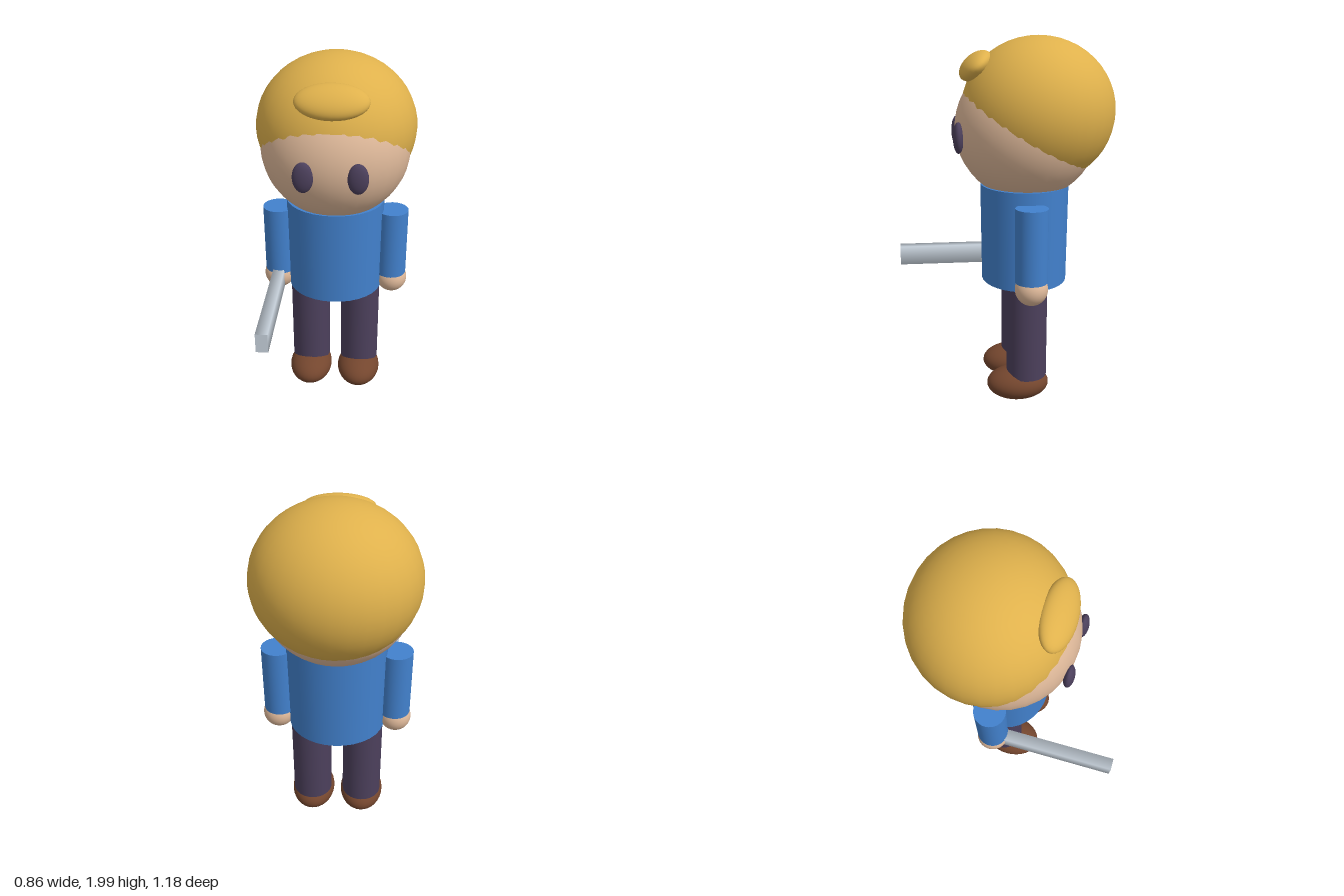
import * as THREE from 'three';

const material = (name, color) => {
  const m = new THREE.MeshStandardMaterial({ color });
  m.name = name;
  return m;
};

export function createModel() {
  const hairGold = material('hair gold', 0xdfb14c);
  const skin = material('skin', 0xdfb99a);
  const shirtBlue = material('shirt blue', 0x4281cd);
  const darkPurple = material('dark purple', 0x4c405c);
  const shoeBrown = material('shoe brown', 0x74462e);
  const steel = material('steel', 0xc8d2dc);

  const model = new THREE.Group();
  model.name = 'figure';

  const add = (name, geometry, mat, position) => {
    const mesh = new THREE.Mesh(geometry, mat);
    mesh.name = name;
    mesh.position.set(...position);
    model.add(mesh);
    return mesh;
  };
  const ellipsoid = (name, mat, position, radii) =>
    add(name, new THREE.SphereGeometry(1, 32, 24).scale(...radii), mat, position);
  const column = (name, mat, x, bottom, top, rTop, rBottom, depth = 1) =>
    add(name, new THREE.CylinderGeometry(rTop, rBottom, top - bottom, 32).scale(1, 1, depth),
      mat, [x, (top + bottom) / 2, -0.11]);

  // Head, with the hair as a larger overlapping ball set up and back
  ellipsoid('head', skin, [0, 1.52, -0.12], [0.4, 0.385, 0.385]);
  ellipsoid('hair', hairGold, [0, 1.61, -0.18], [0.429, 0.39, 0.41]);
  ellipsoid('hairTuft', hairGold, [0, 1.845, 0.15], [0.186, 0.06, 0.1]).rotation.x = 0.7;

  // Torso
  column('torso', shirtBlue, 0, 0.68, 1.22, 0.27, 0.264, 0.89);

  // Paired parts
  for (const [side, s] of [['left', 1], ['right', -1]]) {
    ellipsoid(`${side}Eye`, darkPurple, [s * 0.137, 1.49, 0.25], [0.053, 0.081, 0.028]);
    column(`${side}Sleeve`, shirtBlue, s * 0.319, 0.76, 1.155, 0.086, 0.086);
    ellipsoid(`${side}Hand`, skin, [s * 0.326, 0.722, -0.11], [0.087, 0.087, 0.087]);
    column(`${side}Leg`, darkPurple, s * 0.146, 0.15, 0.72, 0.112, 0.112);
    ellipsoid(`${side}Shoe`, shoeBrown, [s * 0.146, 0.098, -0.062], [0.126, 0.092, 0.173]);
  }

  // Four-sided blade held forward in the right hand
  const blade = new THREE.CylinderGeometry(Math.SQRT1_2, Math.SQRT1_2, 1, 4, 1, false, Math.PI / 4)
    .rotateX(Math.PI / 2)
    .scale(0.064, 0.11, 0.69);
  add('blade', blade, steel, [-0.322, 0.725, 0.245]);

  // Rest the shoes on the ground
  model.position.y = 0;
  model.children.forEach((part) => { part.position.y -= 0.003; });
  return model;
}
